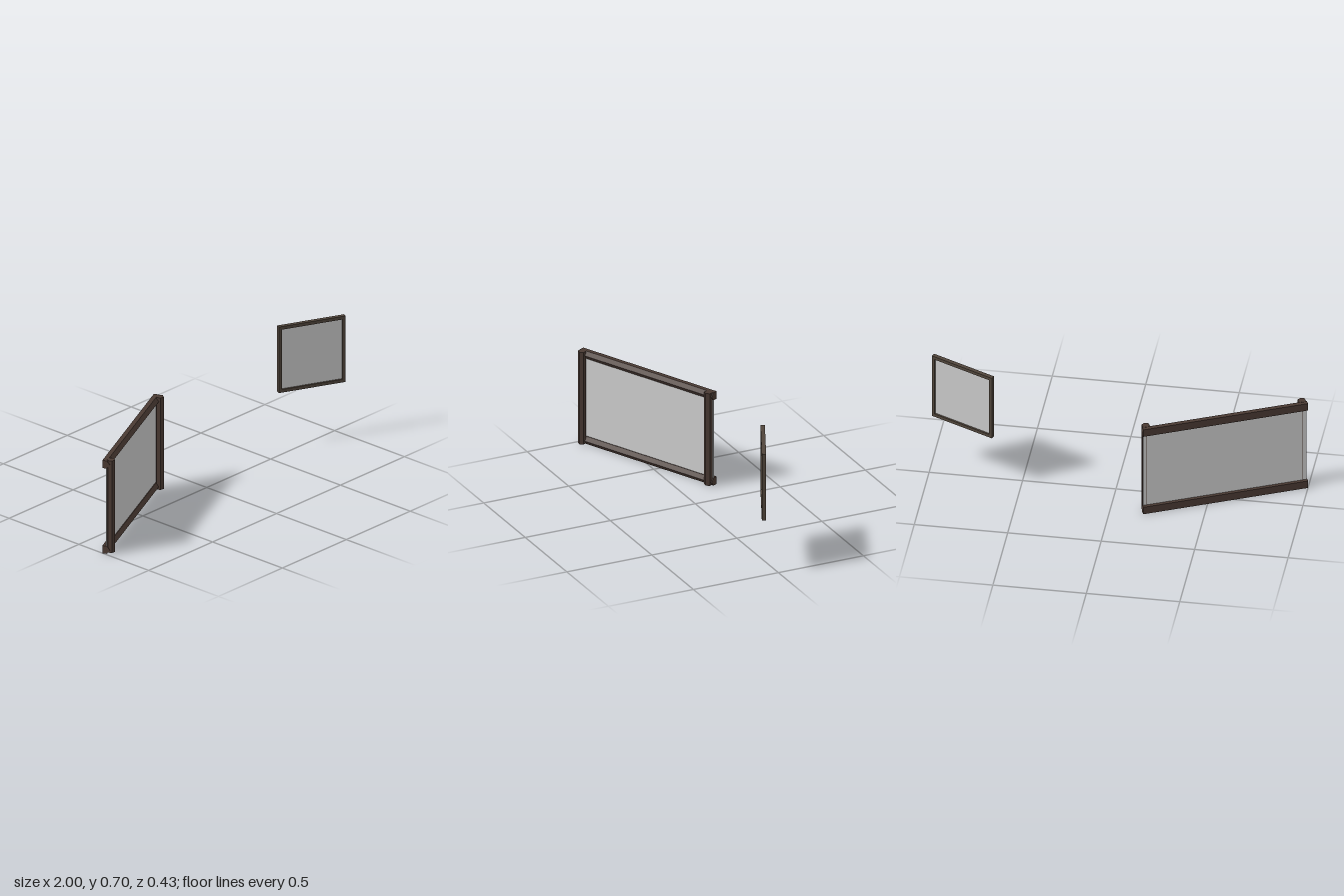
import * as THREE from 'three';

const TILT = THREE.MathUtils.degToRad(25);

function addMesh(parent, name, geometry, material, x, y, z) {
  const mesh = new THREE.Mesh(geometry, material);
  mesh.name = name;
  mesh.position.set(x, y, z);
  parent.add(mesh);
  return mesh;
}

// Large screen: ridged rails, hexagonal posts in front, thin pane
function createLargeScreen(glass) {
  const wood = new THREE.MeshStandardMaterial({ color: 0x4a3a33, flatShading: true });
  const group = new THREE.Group();
  group.name = 'largeScreen';
  const length = 0.905, h = 0.022;

  // Rail section: flat back, ridge along the front (shape x is -z)
  const section = new THREE.Shape([
    [0.02, -h], [0.02, h], [-0.005, h], [-0.021, 0], [-0.005, -h],
  ].map(([x, y]) => new THREE.Vector2(x, y)));
  const railGeo = new THREE.ExtrudeGeometry(section, { depth: length, bevelEnabled: false });
  railGeo.translate(0, 0, -length / 2).rotateY(Math.PI / 2);
  addMesh(group, 'bottomRail', railGeo, wood, 0, h, 0);
  addMesh(group, 'topRail', railGeo, wood, 0, 0.515, 0);

  const postGeo = new THREE.CylinderGeometry(0.0224, 0.0224, 0.532, 6);
  for (const side of [-1, 1]) {
    addMesh(group, side < 0 ? 'rightPost' : 'leftPost', postGeo, wood, side * 0.429, 0.272, 0.02);
  }

  addMesh(group, 'largePane', new THREE.BoxGeometry(0.9, 0.49, 0.003), glass, 0, 0.268, 0);
  group.position.set(-0.5825, 0, -0.004);
  group.rotation.y = TILT;
  return group;
}

// Small square window: four plain bars around a thin pane
function createSmallWindow(glass) {
  const wood = new THREE.MeshStandardMaterial({ color: 0x50453b, flatShading: true });
  const group = new THREE.Group();
  group.name = 'smallWindow';
  const size = 0.382, bar = 0.018, depth = 0.023, offset = (size - bar) / 2;

  const sideGeo = new THREE.BoxGeometry(bar, size, depth);
  const crossGeo = new THREE.BoxGeometry(size - 2 * bar, bar, depth);
  for (const s of [-1, 1]) {
    addMesh(group, s < 0 ? 'rightBar' : 'leftBar', sideGeo, wood, s * offset, 0, 0);
    addMesh(group, s < 0 ? 'bottomBar' : 'topBar', crossGeo, wood, 0, s * offset, 0);
  }

  const inner = size - bar;
  addMesh(group, 'smallPane', new THREE.BoxGeometry(inner, inner, 0.003), glass, 0, 0, 0);
  group.position.set(0.8185, 0.505, 0);
  group.rotation.y = -TILT;
  return group;
}

export function createModel() {
  const model = new THREE.Group();
  model.name = 'screens';
  const glass = new THREE.MeshStandardMaterial({ color: 0xcccccc, side: THREE.DoubleSide });
  model.add(createLargeScreen(glass), createSmallWindow(glass));
  return model;
}
